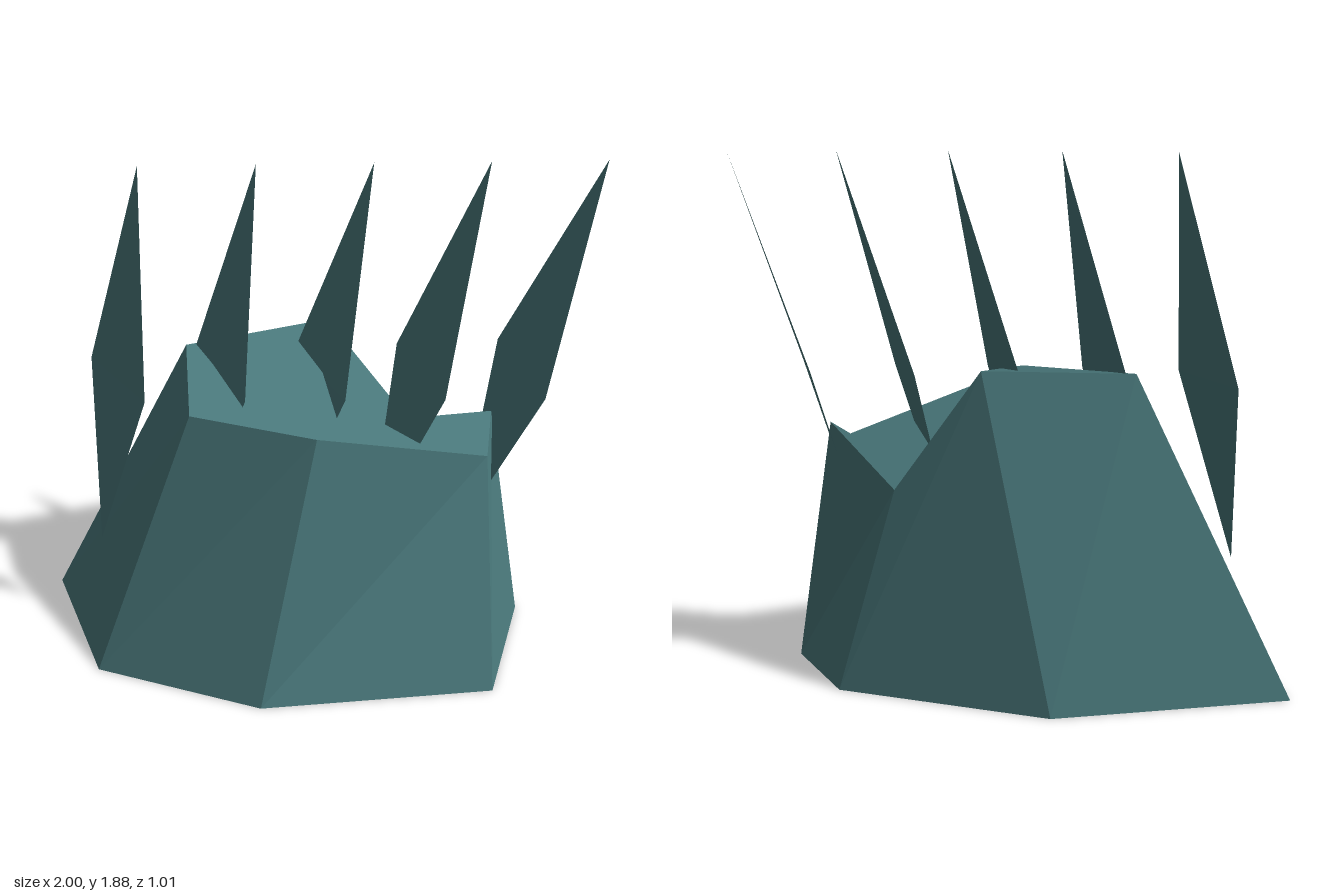
import * as THREE from 'three';

// Builds a faceted geometry from [x, y, z] corners and triangles of corner indices
function faceted(points, triangles) {
  const geometry = new THREE.BufferGeometry();
  const positions = triangles.flat().flatMap((i) => points[i]);
  geometry.setAttribute('position', new THREE.Float32BufferAttribute(positions, 3));
  geometry.computeVertexNormals();
  return geometry;
}

// Gives an uneven many-sided face one shared normal
function levelNormals(geometry) {
  const position = geometry.attributes.position;
  const [a, b, c, sum] = Array.from({ length: 4 }, () => new THREE.Vector3());
  for (let i = 0; i < position.count; i += 3) {
    a.fromBufferAttribute(position, i);
    b.fromBufferAttribute(position, i + 1).sub(a);
    c.fromBufferAttribute(position, i + 2).sub(a);
    sum.add(b.cross(c));
  }
  sum.normalize();
  for (let i = 0; i < position.count; i++) geometry.attributes.normal.setXYZ(i, sum.x, sum.y, sum.z);
  return geometry;
}

export function createModel() {
  const model = new THREE.Group();
  model.name = 'spikedRock';
  const teal = new THREE.MeshStandardMaterial({ color: 0x4a797c, side: THREE.DoubleSide });
  teal.name = 'teal stone';

  const add = (name, geometry, parent = model) => {
    const mesh = new THREE.Mesh(geometry, teal);
    mesh.name = name;
    parent.add(mesh);
  };

  // Seven-sided rock: foot ring and uneven crown ring, in matching order
  const foot = [
    [-1, 0, -0.24], [-0.81, 0, 0.28], [-0.2, 0, 0.505], [0.66, 0, 0.44],
    [0.81, 0, -0.02], [0.58, 0, -0.35], [-0.19, 0, -0.51],
  ];
  const crown = [
    [-0.445, 1.135, -0.2], [-0.43, 1.02, 0.09], [0.01, 1.065, 0.31], [0.63, 0.83, 0.1],
    [0.66, 0.91, -0.07], [0.38, 0.725, -0.3], [0.07, 1.155, -0.33],
  ];
  const n = foot.length;
  const walls = [];
  const base = [];
  for (let i = 0; i < n; i++) {
    const j = (i + 1) % n;
    walls.push([i, j, j + n], [i, j + n, i + n]);
    if (i > 0 && i < n - 1) base.push([0, i + 1, i]);
  }
  add('rockWalls', faceted([...foot, ...crown], walls));
  add('rockBase', faceted(foot, base));
  add('rockTop', levelNormals(faceted(crown, [[0, 1, 2], [0, 2, 6], [6, 2, 5], [5, 2, 3], [5, 3, 4]])));

  // Row of flat blade spikes, growing slightly more slanted toward +x
  const spikes = new THREE.Group();
  spikes.name = 'spikes';
  model.add(spikes);
  for (let i = 0; i < 5; i++) {
    const tip = [-0.57 + 0.3915 * i, 1.88, -0.12];
    const rear = [-0.79 + 0.37 * i, 1.09 + 0.008 * i, -0.2 - 0.006 * i];
    const front = [-0.58 + 0.3475 * i, 1.095, 0.11 + 0.006 * i];
    const root = [-0.785 + 0.335 * i, 0.43, 0.02];
    add(`spike${i + 1}`, faceted([tip, rear, front, root], [[0, 1, 2], [1, 3, 2]]), spikes);
  }
  return model;
}
